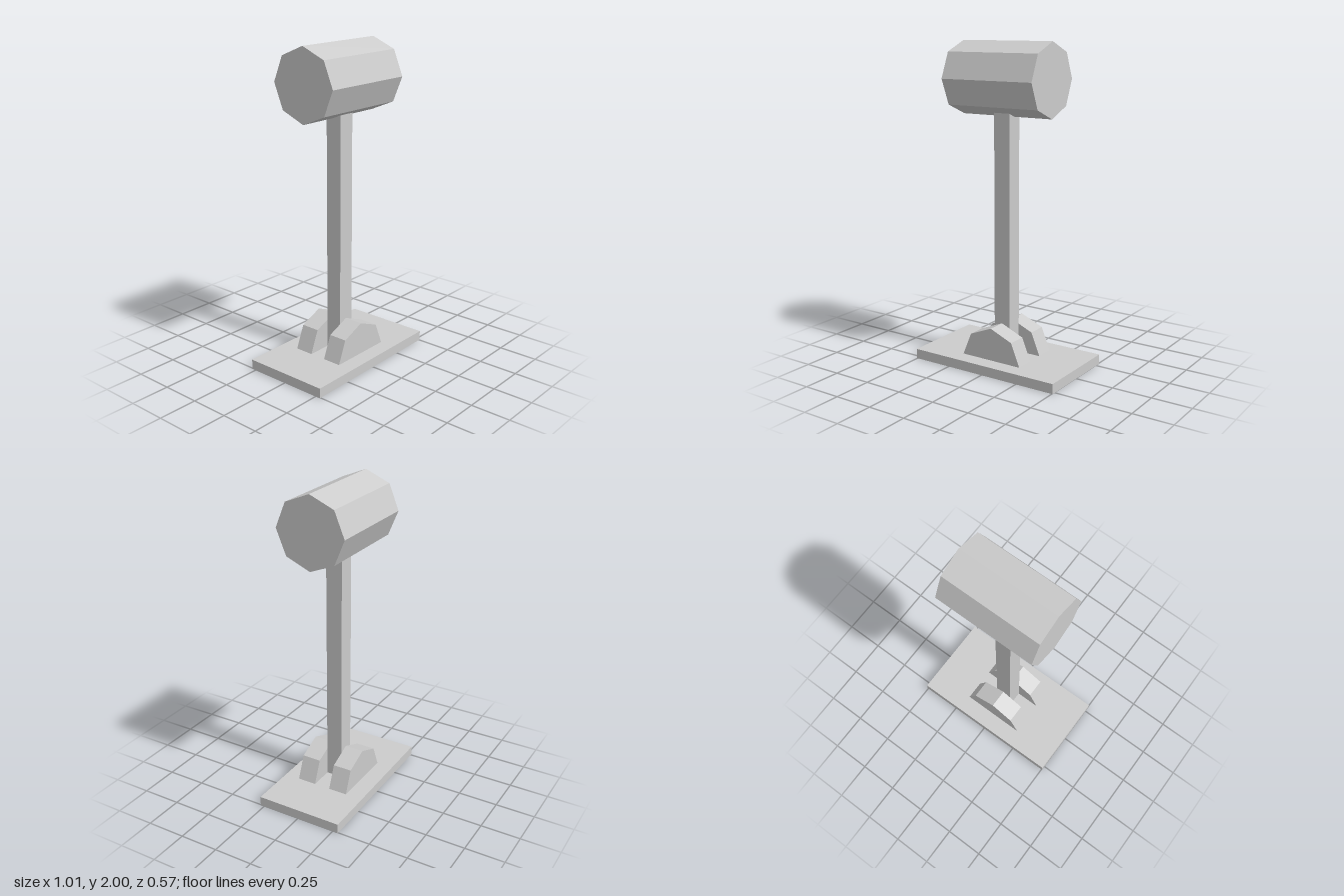
import * as THREE from 'three';

const material = new THREE.MeshStandardMaterial({ color: 0xcccccc, flatShading: true });

export function createModel() {
  const model = new THREE.Group();
  model.name = 'standingMallet';

  const add = (name, geometry, x, y, z) => {
    const mesh = new THREE.Mesh(geometry, material);
    mesh.name = name;
    mesh.position.set(x, y, z);
    model.add(mesh);
    return mesh;
  };
  const extrude = (points, depth) => new THREE.ExtrudeGeometry(
    new THREE.Shape(points.map(([x, y]) => new THREE.Vector2(x, y))),
    { depth, bevelEnabled: false }
  );

  // Base plate, very slightly skewed in plan
  const plate = extrude([[-0.505, -0.283], [0.505, -0.275], [0.505, 0.287], [-0.505, 0.279]], 0.062);
  plate.rotateX(-Math.PI / 2);
  add('basePlate', plate, 0, 0, 0);

  // Square post, its top sunk into the head
  add('post', new THREE.BoxGeometry(0.11, 1.6, 0.106), 0, 0.86, 0.003);

  // Half-octagon brackets clamping the post front and back
  const radius = 0.213;
  const arch = [];
  for (let i = 0; i <= 4; i++) {
    const a = (i * Math.PI) / 4;
    arch.push([radius * Math.cos(a), radius * Math.sin(a)]);
  }
  add('frontBracket', extrude(arch, 0.122), 0, 0.055, 0.056);
  add('backBracket', extrude(arch, 0.122), 0, 0.055, -0.172);

  // Octagonal head lying along x
  const head = new THREE.CylinderGeometry(0.223, 0.223, 0.633, 8);
  head.rotateZ(Math.PI / 2);
  add('head', head, 0, 1.777, 0.002);

  return model;
}
